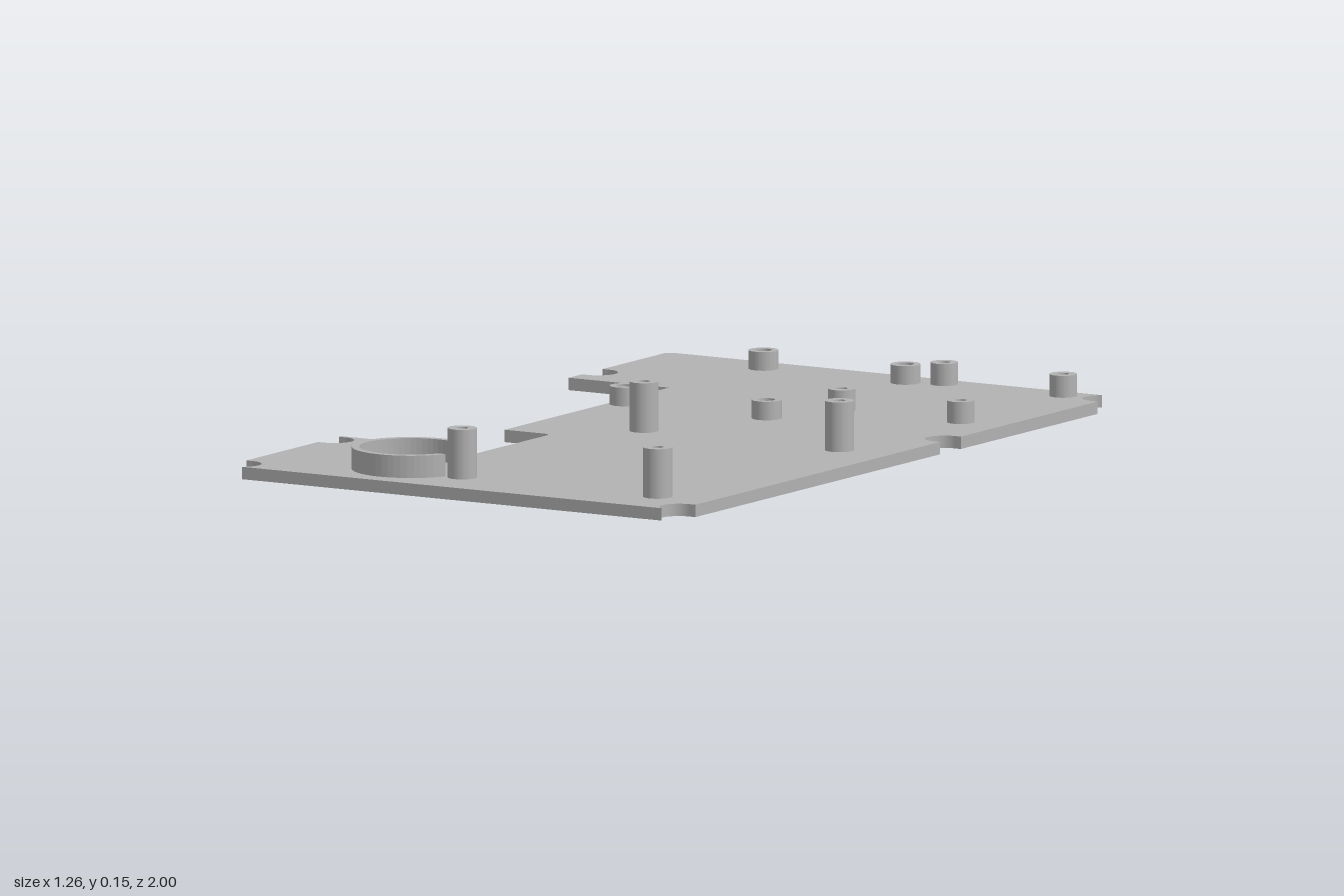
import * as THREE from 'three';

const PLATE = 0.03;
const X = 0.632; // half width of the plate
const R = 0.047; // notch radius
const NX = 0.615; // notch centre from the middle
const A = Math.asin(0.04 / R); // where corner notches break the end edges
const HALF = Math.PI / 2;

// Screw posts: positions (x, z), outer radius, bore radius, top height
const tallPosts = { name: 'tallPost', at: [[-0.06, 0.03], [0.49, 0.03], [-0.06, 0.855], [0.49, 0.855]], r: 0.035, bore: 0.014, top: 0.15, through: true };
const shortPosts = { name: 'shortPost', at: [[0.18, -0.945], [0.515, -0.945], [0.18, -0.48], [0.515, -0.48]], r: 0.033, bore: 0.014, top: 0.083, through: true };
const blindPosts = { name: 'blindPost', at: [[-0.31, -0.915], [0.09, -0.915], [-0.31, -0.285], [0.09, -0.285]], r: 0.036, bore: 0.02, top: 0.075, through: false };
const postSets = [tallPosts, shortPosts, blindPosts];

// Extrude a shape drawn in (x, z) so it fills the heights from y0 to y1
function slab(shape, y0, y1) {
  const g = new THREE.ExtrudeGeometry(shape, { depth: y1 - y0, bevelEnabled: false, curveSegments: 24 });
  g.rotateX(HALF);
  g.translate(0, y1, 0);
  return g;
}

function circleHole(x, z, r) {
  const p = new THREE.Path();
  p.absarc(x, z, r, 0, Math.PI * 2, true);
  return p;
}

function plateShape() {
  const s = new THREE.Shape();
  const lines = (pts) => pts.forEach(([x, z]) => s.lineTo(x, z));
  s.moveTo(-X + 0.022, -1);
  s.quadraticCurveTo(-X, -1, -X, -0.978);
  // left edge: upper notch
  lines([[-X, -0.657 - R]]);
  s.absarc(-NX, -0.657, R, -HALF, HALF, false);
  lines([[-X, -0.657 + R], [-X, -0.55], [-0.35, -0.55], [-0.35, 0.195], [-0.24, 0.195]]);
  // stepped side cutout
  s.quadraticCurveTo(-0.22, 0.195, -0.22, 0.215);
  lines([[-0.22, 0.695], [-0.31, 0.695]]);
  s.quadraticCurveTo(-0.36, 0.695, -0.36, 0.65);
  lines([[-0.36, 0.59], [-0.54, 0.59], [-0.54, 0.483], [-X, 0.483], [-X, 0.54 - R]]);
  // lower notch and front left corner
  s.absarc(-NX, 0.54, R, -HALF, HALF, false);
  lines([[-X, 0.54 + R], [-X, 0.96 - R]]);
  s.absarc(-NX, 0.96, R, -HALF, A, false);
  // front right corner, right notch, back right corner
  s.absarc(NX, 0.96, R, Math.PI - A, 3 * HALF, false);
  lines([[X, 0.96 - R], [X, -0.245 + R]]);
  s.absarc(NX, -0.245, R, HALF, 3 * HALF, false);
  lines([[X, -0.245 - R], [X, -0.96 + R]]);
  s.absarc(NX, -0.96, R, HALF, Math.PI + A, false);
  s.closePath();
  // bores that pass through the plate
  for (const p of postSets) {
    if (p.through) p.at.forEach(([x, z]) => s.holes.push(circleHole(x, z, p.bore)));
  }
  return s;
}

// Open ring with its gap facing +x, cut parallel to x
function ringShape(cx, cz, outer, inner, halfGap) {
  const a = Math.asin(halfGap / outer);
  const b = Math.asin(halfGap / inner);
  const s = new THREE.Shape();
  s.absarc(cx, cz, outer, a, Math.PI * 2 - a, false);
  s.absarc(cx, cz, inner, Math.PI * 2 - b, b, true);
  s.closePath();
  return s;
}

export function createModel() {
  const model = new THREE.Group();
  const grey = new THREE.MeshStandardMaterial({ color: 0xb2b2b2 });
  grey.name = 'plainGrey';
  const add = (name, geometry) => {
    const mesh = new THREE.Mesh(geometry, grey);
    mesh.name = name;
    model.add(mesh);
    return mesh;
  };

  add('basePlate', slab(plateShape(), 0, PLATE));
  add('holderRing', slab(ringShape(-0.232, 0.81, 0.142, 0.124, 0.055), PLATE, 0.084));

  // hollow posts
  for (const p of postSets) {
    const s = new THREE.Shape();
    s.absarc(0, 0, p.r, 0, Math.PI * 2, false);
    s.holes.push(circleHole(0, 0, p.bore));
    const g = slab(s, PLATE, p.top);
    p.at.forEach(([x, z]) => add(p.name, g).position.set(x, 0, z));
  }
  return model;
}
